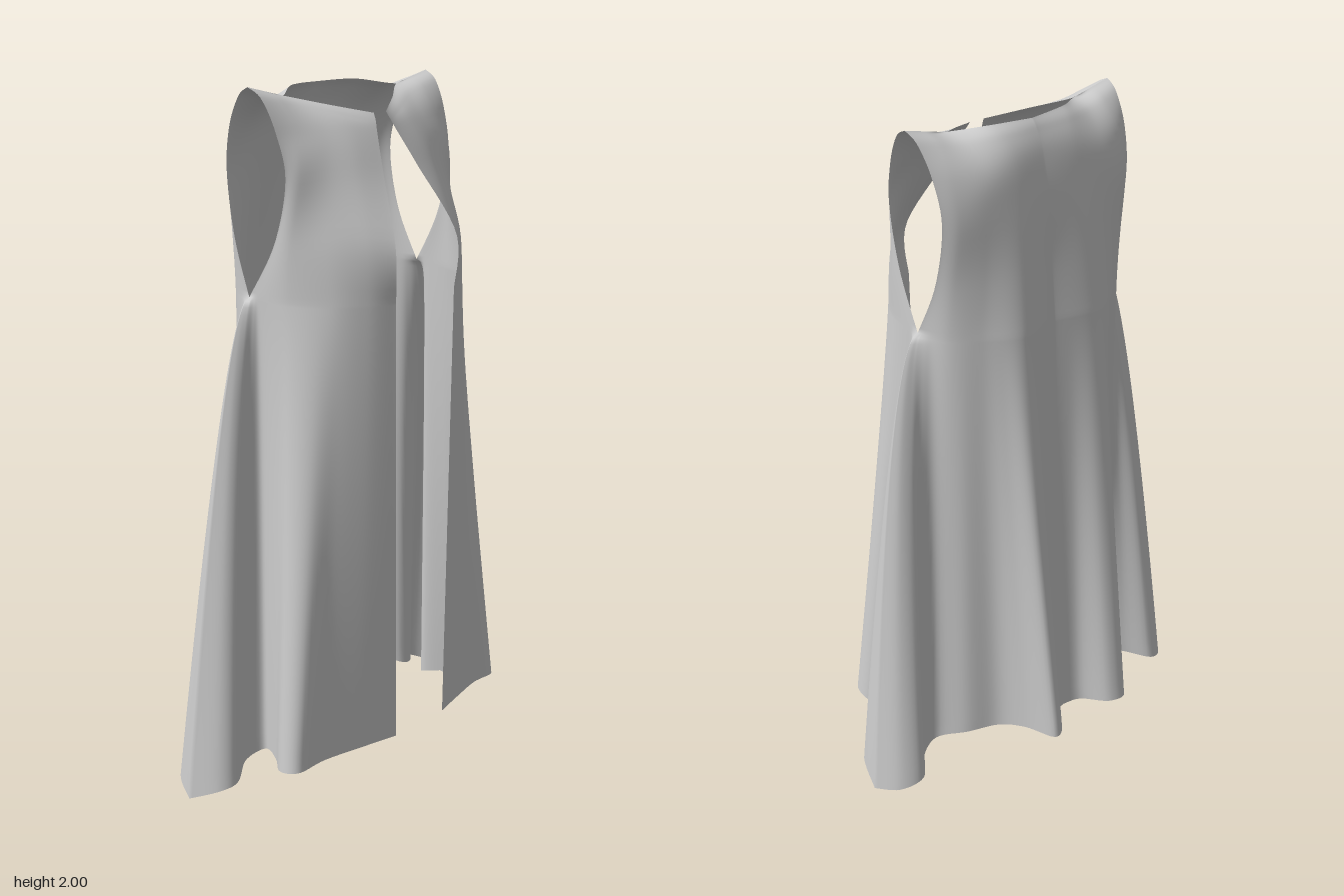
import * as THREE from 'three';
import { mergeGeometries, mergeVertices } from 'three/addons/utils/BufferGeometryUtils.js';

// Smooth curve through rows of numbers, t from 0 to 1
function spline(list, t) {
  const n = list.length - 1;
  const f = Math.min(Math.max(t, 0), 1) * n;
  const i = Math.min(Math.floor(f), n - 1), u = f - i;
  const at = (k) => list[Math.min(Math.max(k, 0), n)];
  const [a, b, c, d] = [at(i - 1), at(i), at(i + 1), at(i + 2)];
  return b.map((p, k) => p + 0.5 * u * (c[k] - a[k]
    + u * (2 * a[k] - 5 * p + 4 * c[k] - d[k] + u * (3 * (p - c[k]) + d[k] - a[k]))));
}

// Upper rows, shoulder seam down to armhole bottom; each runs x, y, z from the
// front opening to the armhole
const frontUpper = [
  [[0.015, 1.92, 0.16], [0.12, 1.945, 0.09], [0.215, 1.97, 0.02], [0.28, 1.985, 0.02], [0.34, 2, 0.02]],
  [[0.02, 1.9, 0.172], [0.113, 1.925, 0.125], [0.205, 1.95, 0.075], [0.275, 1.963, 0.068], [0.334, 1.973, 0.064]],
  [[0.03, 1.87, 0.187], [0.11, 1.885, 0.165], [0.19, 1.89, 0.14], [0.27, 1.89, 0.12], [0.325, 1.89, 0.106]],
  [[0.06, 1.78, 0.235], [0.14, 1.79, 0.215], [0.215, 1.79, 0.185], [0.29, 1.78, 0.155], [0.316, 1.77, 0.13]],
  [[0.115, 1.6, 0.33], [0.18, 1.61, 0.285], [0.25, 1.61, 0.22], [0.31, 1.6, 0.14], [0.32, 1.6, 0.09]],
  [[0.11, 1.45, 0.33], [0.18, 1.45, 0.298], [0.255, 1.45, 0.235], [0.315, 1.45, 0.13], [0.332, 1.45, 0.005]],
];
// The same from the armhole to the middle of the back
const backUpper = [
  [[0.34, 2, 0.02], [0.28, 1.985, 0.02], [0.215, 1.97, 0.02], [0.12, 1.985, -0.05], [0, 1.985, -0.075]],
  [[0.334, 1.973, -0.022], [0.28, 1.965, -0.032], [0.21, 1.955, -0.045], [0.11, 1.96, -0.085], [0, 1.96, -0.093]],
  [[0.325, 1.89, -0.068], [0.28, 1.89, -0.088], [0.2, 1.89, -0.108], [0.1, 1.9, -0.12], [0, 1.9, -0.118]],
  [[0.316, 1.77, -0.09], [0.28, 1.77, -0.115], [0.21, 1.78, -0.134], [0.11, 1.78, -0.145], [0, 1.78, -0.142]],
  [[0.32, 1.6, -0.06], [0.29, 1.6, -0.1], [0.22, 1.6, -0.14], [0.12, 1.6, -0.174], [0, 1.6, -0.157]],
  [[0.332, 1.45, 0.005], [0.3, 1.45, -0.08], [0.23, 1.45, -0.14], [0.13, 1.45, -0.195], [0, 1.45, -0.17]],
];
// Moves each row outwards by an amount per point
const shiftRows = (rows, dx) => rows.map((row) => row.map(([x, y, z], i) => [x + dx[i], y, z]));

// Hems: x, y, z, place along the chest row, side fold weight
const leftSide = {
  sign: 1,
  frontUpper,
  backUpper,
  frontHem: [
    [0.095, 0.17, 0.335, 0, 0], [0.2, 0.165, 0.306, 0.2, 0], [0.32, 0.16, 0.277, 0.42, 0],
    [0.405, 0.16, 0.278, 0.58, 0], [0.423, 0.15, 0.21, 0.7, 0], [0.375, 0.13, 0.13, 0.8, 0.1],
    [0.342, 0.11, 0.045, 0.9, 0.3], [0.415, 0.09, 0.028, 0.94, 0.8], [0.455, 0.06, 0.098, 0.965, 1],
    [0.52, 0.045, 0.1, 0.985, 1], [0.563, 0.015, -0.01, 1, 1],
  ],
  backHem: [
    [0.563, 0.015, -0.01, 0, 1], [0.525, 0.04, -0.09, 0.02, 1], [0.46, 0.07, -0.12, 0.05, 1],
    [0.41, 0.09, -0.06, 0.1, 0.8], [0.345, 0.11, -0.04, 0.18, 0.3], [0.28, 0.14, -0.11, 0.35, 0],
    [0.2, 0.155, -0.16, 0.5, 0], [0.162, 0.175, -0.24, 0.6, 0], [0.135, 0.185, -0.34, 0.7, 0],
    [0.09, 0.185, -0.325, 0.8, 0], [0.045, 0.175, -0.25, 0.9, 0], [0, 0.175, -0.235, 1, 0],
  ],
};
const rightSide = {
  sign: -1,
  frontUpper: shiftRows(frontUpper, [0.018, 0.018, 0.018, 0.018, 0.018]),
  backUpper: shiftRows(backUpper, [0.018, 0.018, 0.018, 0.009, 0]),
  frontHem: [
    [0.112, 0.17, 0.335, 0, 0], [0.21, 0.165, 0.305, 0.2, 0], [0.34, 0.16, 0.27, 0.42, 0],
    [0.44, 0.16, 0.268, 0.58, 0], [0.458, 0.15, 0.21, 0.7, 0], [0.395, 0.13, 0.13, 0.8, 0.1],
    [0.348, 0.11, 0.04, 0.9, 0.3], [0.41, 0.09, 0.02, 0.94, 0.8], [0.475, 0.06, 0.055, 0.965, 1],
    [0.525, 0.04, 0.03, 0.985, 1], [0.565, 0, -0.055, 1, 1],
  ],
  backHem: [
    [0.565, 0, -0.055, 0, 1], [0.54, 0.04, -0.12, 0.02, 1], [0.47, 0.07, -0.15, 0.05, 1],
    [0.405, 0.09, -0.085, 0.1, 0.8], [0.35, 0.11, -0.055, 0.18, 0.3], [0.28, 0.14, -0.11, 0.35, 0],
    [0.205, 0.155, -0.16, 0.5, 0], [0.178, 0.175, -0.23, 0.6, 0], [0.165, 0.185, -0.33, 0.7, 0],
    [0.105, 0.185, -0.325, 0.8, 0], [0.055, 0.175, -0.25, 0.9, 0], [0, 0.175, -0.235, 1, 0],
  ],
};

const COLS = 66, UPPER = 32, LOWER = 36;

// One cloth panel: a grid from the shoulder down to the hem
function panel(upper, hem, sign) {
  const pos = [], index = [];
  const rows = UPPER + LOWER, chest = upper[upper.length - 1], neck = upper[0][2];
  for (let r = 0; r <= rows; r++) {
    for (let c = 0; c <= COLS; c++) {
      const h = spline(hem, c / COLS);
      const w = h[3], fold = Math.min(Math.max(h[4], 0), 1);
      let x, y, z;
      if (r <= UPPER) {
        [x, y, z] = spline(upper.map((row) => spline(row, w)), r / UPPER);
        // keep both panels on one straight shoulder seam
        if (r === 0 && x > neck[0]) {
          y = neck[1] + (x - neck[0]) * 0.24;
          z = neck[2];
        }
      } else {
        // the side folds flare out early, the rest falls nearly straight
        const s = Math.pow((r - UPPER) / LOWER, 1.4);
        const p = spline(chest, w);
        x = p[0] + (h[0] - p[0]) * Math.pow(s, 1.05 - 0.52 * fold);
        y = p[1] + (h[1] - p[1]) * s;
        z = p[2] + (h[2] - p[2]) * Math.pow(s, 1.05);
      }
      pos.push(sign * x, y, z);
    }
  }
  const n = COLS + 1;
  for (let r = 0; r < rows; r++) {
    for (let c = 0; c < COLS; c++) {
      const a = r * n + c, b = a + n;
      if (sign > 0) index.push(a, b, a + 1, a + 1, b, b + 1);
      else index.push(a, a + 1, b, a + 1, b + 1, b);
    }
  }
  const g = new THREE.BufferGeometry();
  g.setAttribute('position', new THREE.Float32BufferAttribute(pos, 3));
  g.setIndex(index);
  return g;
}

export function createModel() {
  const group = new THREE.Group();
  group.name = 'sleevelessDrapedVest';
  // Both halves, welded at the side folds, shoulders and back
  const parts = [leftSide, rightSide].flatMap((s) => [
    panel(s.frontUpper, s.frontHem, s.sign), panel(s.backUpper, s.backHem, s.sign),
  ]);
  const geometry = mergeVertices(mergeGeometries(parts), 1e-4);
  geometry.computeVertexNormals();
  const cloth = new THREE.Mesh(geometry, new THREE.MeshStandardMaterial({
    color: 0xcccccc, side: THREE.DoubleSide,
  }));
  cloth.name = 'vestCloth';
  group.add(cloth);
  return group;
}
